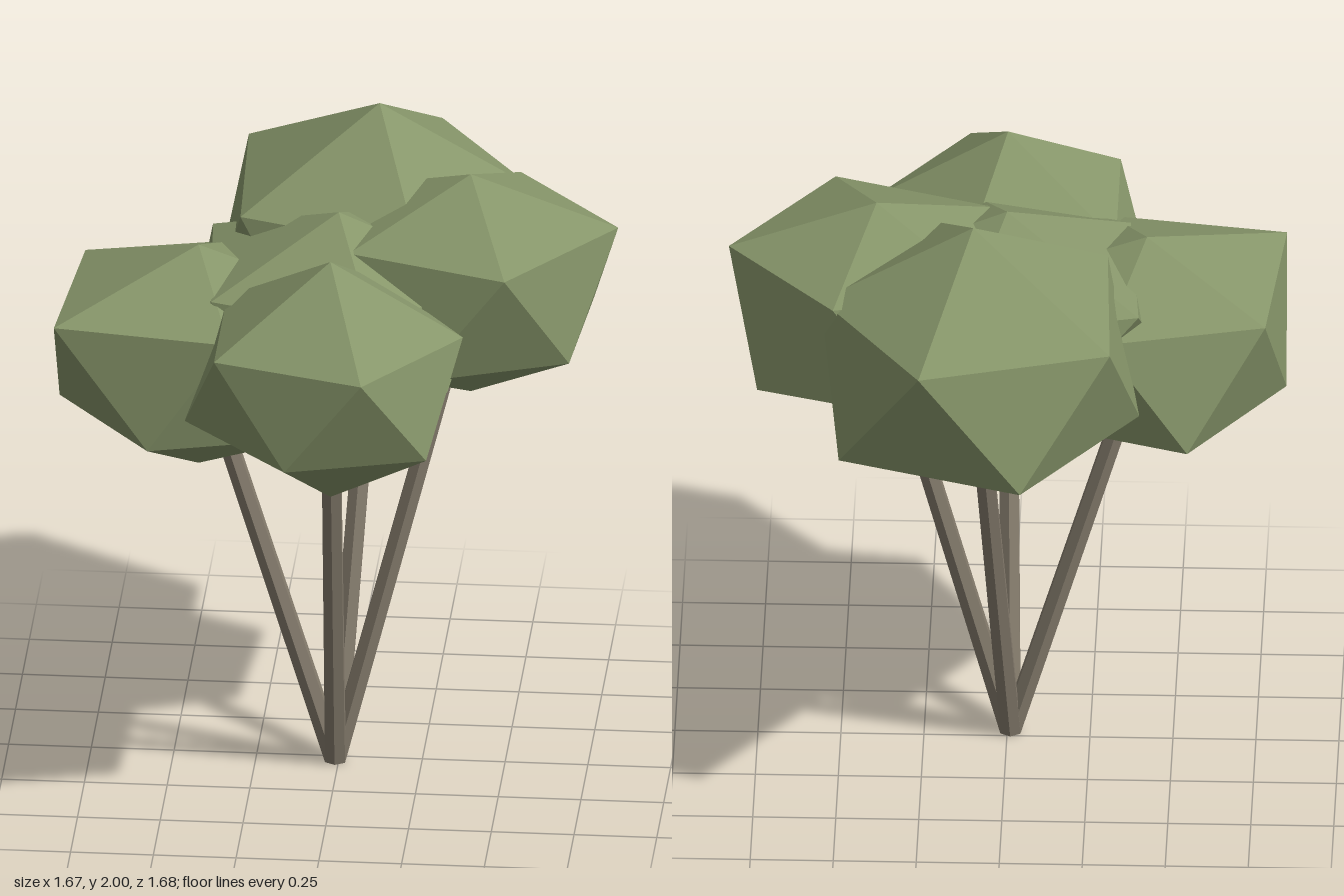
import * as THREE from 'three';

const foliage = new THREE.MeshStandardMaterial({ color: 0x87966a, flatShading: true });
foliage.name = 'leaf green';
const bark = new THREE.MeshStandardMaterial({ color: 0x857c6d, flatShading: true });
bark.name = 'bark grey-brown';

const BASE = new THREE.Vector3(-0.01, 0, 0.03);

// Each crown: centre x/z, heights of top, upper ring, lower ring and bottom,
// then the five radii of each ring (an irregular, flattened icosahedron).
const crowns = [
  { name: 'backCrown', x: 0.09, z: -0.37, y: [2.0, 1.74, 1.35, 1.14], stem: true,
    upper: [0.46, 0.5, 0.49, 0.52, 0.49], lower: [0.48, 0.48, 0.5, 0.5, 0.49] },
  { name: 'frontCrown', x: 0.01, z: 0.45, y: [1.85, 1.615, 1.305, 1.07], stem: true,
    upper: [0.4, 0.4, 0.41, 0.41, 0.405], lower: [0.38, 0.36, 0.44, 0.42, 0.4] },
  { name: 'leftCrown', x: 0.39, z: -0.08, y: [1.91, 1.75, 1.4, 1.19], stem: true,
    upper: [0.445, 0.44, 0.43, 0.42, 0.39], lower: [0.39, 0.42, 0.43, 0.43, 0.435] },
  { name: 'rightCrown', x: -0.42, z: 0.07, y: [1.715, 1.56, 1.2, 0.99], stem: true,
    upper: [0.43, 0.4, 0.51, 0.45, 0.4], lower: [0.43, 0.4, 0.42, 0.43, 0.42] },
  { name: 'middleCrown', x: 0, z: 0.03, y: [1.82, 1.63, 1.35, 1.16], stem: false,
    upper: [0.45, 0.45, 0.45, 0.5, 0.45], lower: [0.43, 0.43, 0.46, 0.43, 0.43] },
];

// Two five-point rings, half a step apart, closed by a top and a bottom point
function crownGeometry({ x, z, y, upper, lower }) {
  const points = [x, y[0], z];
  const addRing = (radii, height, turn) => radii.forEach((r, i) => {
    const a = (i + turn) * Math.PI * 2 / 5;
    points.push(x + r * Math.cos(a), height, z + r * Math.sin(a));
  });
  addRing(upper, y[1], 0);
  addRing(lower, y[2], 0.5);
  points.push(x, y[3], z);

  const index = [];
  for (let i = 0; i < 5; i++) {
    const j = (i + 1) % 5;
    const u = 1 + i, uNext = 1 + j, l = 6 + i, lNext = 6 + j;
    index.push(0, uNext, u, u, uNext, l, uNext, lNext, l, 11, l, lNext);
  }
  const indexed = new THREE.BufferGeometry();
  indexed.setAttribute('position', new THREE.Float32BufferAttribute(points, 3));
  indexed.setIndex(index);
  const geometry = indexed.toNonIndexed();
  geometry.computeVertexNormals();
  return geometry;
}

// Six-sided stem sheared from the shared base to the middle of a crown
function stemGeometry({ x, z, y }) {
  const height = (y[0] + y[3]) / 2 - 0.1;
  const full = (y[0] + y[3]) / 2;
  const geometry = new THREE.CylinderGeometry(0.032, 0.035, height, 6);
  geometry.translate(0, height / 2, 0);
  const p = geometry.attributes.position;
  for (let i = 0; i < p.count; i++) {
    const t = p.getY(i) / full;
    p.setX(i, p.getX(i) + BASE.x + (x - BASE.x) * t);
    p.setZ(i, p.getZ(i) + BASE.z + (z - BASE.z) * t);
  }
  geometry.computeVertexNormals();
  return geometry;
}

export function createModel() {
  const tree = new THREE.Group();
  tree.name = 'tree';
  for (const crown of crowns) {
    const leaves = new THREE.Mesh(crownGeometry(crown), foliage);
    leaves.name = crown.name;
    tree.add(leaves);
    if (crown.stem) {
      const stem = new THREE.Mesh(stemGeometry(crown), bark);
      stem.name = crown.name.replace('Crown', 'Stem');
      tree.add(stem);
    }
  }
  return tree;
}
